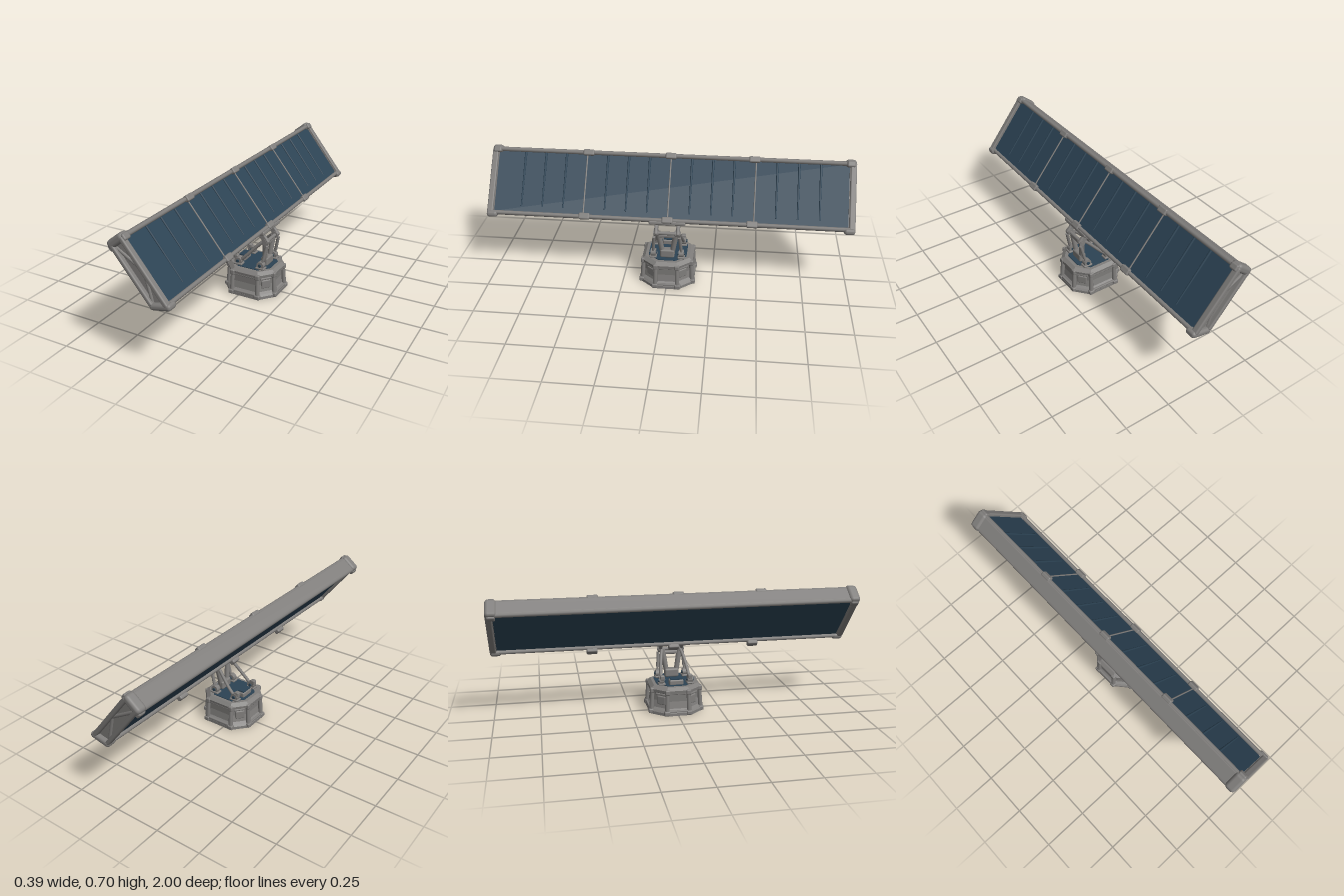
import * as THREE from 'three';
import { RoundedBoxGeometry } from 'three/addons/geometries/RoundedBoxGeometry.js';

export function createModel() {
  const mat = (name, color) => {
    const m = new THREE.MeshStandardMaterial({ color });
    m.name = name;
    return m;
  };
  const grey = mat('metalGrey', 0x7f7d7b);
  const blue = mat('cellBlue', 0x2c4354);

  const model = new THREE.Group();
  model.name = 'solarPanel';
  const V = (x, y, z) => new THREE.Vector3(x, y, z);

  const add = (parent, name, geo, m, x = 0, y = 0, z = 0) => {
    const mesh = new THREE.Mesh(geo, m);
    mesh.name = name;
    mesh.position.set(x, y, z);
    parent.add(mesh);
    return mesh;
  };
  const rbox = (p, name, w, h, d, x, y, z, r = 0.008) =>
    add(p, name, new RoundedBoxGeometry(w, h, d, 2, r), grey, x, y, z);
  // Tapered rod between two points
  const rod = (p, name, a, b, r0, r1 = r0, m = grey, sides = 10) => {
    const mesh = add(p, name, new THREE.CylinderGeometry(r1, r0, a.distanceTo(b), sides), m);
    mesh.position.copy(a).add(b).multiplyScalar(0.5);
    mesh.quaternion.setFromUnitVectors(V(0, 1, 0), b.clone().sub(a).normalize());
    return mesh;
  };

  // ---- Tilted panel: local x is its thickness, y runs up the slope ----
  const panel = new THREE.Group();
  panel.name = 'panel';
  panel.position.set(-0.034, 0.519, 0);
  panel.rotation.z = 0.668;
  model.add(panel);
  const SKEW = -0.46; // the lower edge is cut nearly level

  // Slab with a skewed lower edge
  const slab = (w, depth) => {
    const shape = new THREE.Shape([[-w, -0.152], [w, -0.152 - w], [w, 0.166], [-w, 0.166]]
      .map(([x, y]) => new THREE.Vector2(x, y)));
    return new THREE.ExtrudeGeometry(shape, { depth, bevelEnabled: false }).translate(0, 0, -depth / 2);
  };
  add(panel, 'cellCore', slab(0.032, 1.93), blue);

  // Long beams with round edge rails
  rbox(panel, 'upperBeam', 0.092, 0.026, 1.95, -0.004, 0.169, 0, 0.011);
  rbox(panel, 'lowerBeam', 0.09, 0.018, 1.95, 0, -0.178, 0).rotation.z = SKEW;
  for (const [x, y, r] of [[0.038, 0.168, 0.012], [-0.043, 0.168, 0.014], [0.039, -0.191, 0.0115], [-0.038, -0.158, 0.0115]])
    rod(panel, 'edgeRail', V(x, y, -0.97), V(x, y, 0.97), r);

  // Framed ends with braces and rounded corner caps
  for (const s of [-1, 1]) {
    const z = s * 0.97;
    add(panel, 'endPlate', slab(0.037, 0.014), grey, 0, 0, z);
    rbox(panel, 'frontPost', 0.024, 0.37, 0.034, 0.036, -0.012, s * 0.983);
    rbox(panel, 'backPost', 0.022, 0.33, 0.034, -0.037, 0.008, s * 0.983);
    rod(panel, 'endBrace', V(-0.034, 0.15, s * 0.976), V(0.034, -0.02, s * 0.976), 0.009);
    rod(panel, 'endBrace', V(0.034, 0, s * 0.976), V(-0.034, -0.15, s * 0.976), 0.009);
    rbox(panel, 'upperCap', 0.106, 0.044, 0.06, -0.004, 0.17, z, 0.018);
    rbox(panel, 'lowerCap', 0.116, 0.034, 0.06, 0.001, -0.182, z, 0.015).rotation.z = SKEW;
    rbox(panel, 'upperKnuckle', 0.026, 0.034, 0.045, -0.052, 0.156, z, 0.01);
    rbox(panel, 'frontKnuckle', 0.022, 0.034, 0.045, 0.046, 0.164, z, 0.009);
  }

  // Raised cell ribs, with a light rod at every fourth one
  for (let i = -7; i <= 7; i++) {
    const z = i * 0.116;
    if (i % 4 === 0) rod(panel, 'dividerRod', V(0.034, -0.175, z), V(0.034, 0.16, z), 0.004);
    else rod(panel, 'cellRib', V(0.032, -0.15, z), V(0.034, 0.155, z), 0.004, 0.007, blue, 8);
  }

  // Clips gripping the long beams
  for (const z of [-0.455, 0, 0.455]) {
    rbox(panel, 'upperClip', 0.026, 0.034, 0.06, 0.045, 0.166, z);
    rbox(panel, 'lowerFrontClip', 0.024, 0.036, 0.06, 0.044, -0.19, z);
    rbox(panel, 'lowerBackClip', 0.03, 0.034, 0.06, -0.051, -0.168, z);
  }
  // Mounting plate under the panel
  rbox(panel, 'mountPlate', 0.095, 0.022, 0.2, 0.004, -0.188, 0).rotation.z = SKEW;

  // ---- Hinge and supporting arms ----
  const arms = new THREE.Group();
  arms.name = 'arms';
  model.add(arms);
  const pivot = V(0.125, 0.319, 0);
  rod(arms, 'hingePin', V(pivot.x, pivot.y, -0.076), V(pivot.x, pivot.y, 0.076), 0.01, 0.01, grey, 16);
  for (const s of [-1, 1]) {
    rbox(arms, 'hingeLug', 0.036, 0.075, 0.02, 0.112, 0.341, s * 0.06).rotation.z = 0.668;
    rod(arms, 'hingeBoss', V(pivot.x, pivot.y, s * 0.045), V(pivot.x, pivot.y, s * 0.073), 0.018, 0.018, grey, 16);
    // V-shaped main post
    rod(arms, 'mainPost', V(0.103, 0.18, s * 0.026), V(0.115, 0.319, s * 0.05), 0.014, 0.016);
    // Outer pistons
    rod(arms, 'pistonRod', V(0.108, 0.175, s * 0.08), V(0.136, 0.3, s * 0.07), 0.006);
    rod(arms, 'pistonSleeve', V(0.117, 0.215, s * 0.077), V(0.136, 0.3, s * 0.07), 0.009);
    // Slightly bowed rear struts
    const path = new THREE.CatmullRomCurve3([
      V(-0.03, 0.178, s * 0.08), V(0.01, 0.217, s * 0.077), V(0.052, 0.263, s * 0.069), V(0.08, 0.293, s * 0.062), V(0.115, 0.324, s * 0.052)]);
    add(arms, 'rearStrut', new THREE.TubeGeometry(path, 16, 0.009, 8), grey);
    // Feet carrying the arms
    for (const [x, z] of [[0.104, s * 0.078], [-0.033, s * 0.08]]) {
      rod(arms, 'footDrum', V(x, 0.182, z - 0.014), V(x, 0.182, z + 0.014), 0.022, 0.022, grey, 12);
      rod(arms, 'footBolt', V(x, 0.182, z - 0.02), V(x, 0.182, z + 0.02), 0.009, 0.009, blue, 8);
      rbox(arms, 'footPad', 0.054, 0.012, 0.04, x, 0.165, z, 0.005);
    }
    rbox(arms, 'rearLatch', 0.026, 0.026, 0.026, -0.047, 0.202, s * 0.078, 0.006);
  }
  rbox(arms, 'postBlock', 0.042, 0.05, 0.08, 0.103, 0.184, 0, 0.01);
  rbox(arms, 'postCrossBar', 0.024, 0.022, 0.1, 0.116, 0.3, 0);
  rbox(arms, 'controlBox', 0.045, 0.032, 0.08, -0.04, 0.172, 0);
  add(arms, 'controlScreen', new THREE.BoxGeometry(0.034, 0.008, 0.066), blue, -0.04, 0.19, 0);

  // ---- Eight-sided base, broader on front and back ----
  const base = new THREE.Group();
  base.name = 'base';
  base.position.x = 0.035;
  model.add(base);
  const octagon = (profile) => {
    const g = new THREE.LatheGeometry(profile.map(([r, y]) => new THREE.Vector2(r, y)), 8, Math.PI / 8);
    const p = g.attributes.position;
    for (let i = 0; i < p.count; i++) {
      const x = p.getX(i), z = p.getZ(i), r = Math.hypot(x, z);
      const onSide = Math.abs(x) > Math.abs(z);
      p.setX(i, Math.sign(x) * r * (onSide ? 1.03 : 0.56));
      p.setZ(i, Math.sign(z) * r * (onSide ? 0.44 : 0.98));
    }
    const flat = g.toNonIndexed();
    flat.computeVertexNormals();
    return flat;
  };
  add(base, 'baseBody', octagon([[0, 0], [0.154, 0], [0.154, 0.016], [0.146, 0.026], [0.134, 0.036],
    [0.127, 0.075], [0.129, 0.118], [0.143, 0.126], [0.145, 0.142], [0.126, 0.158], [0, 0.158]]), grey);
  add(base, 'deckPlate', octagon([[0, 0.156], [0.108, 0.156], [0.108, 0.161], [0, 0.161]]), blue);

  for (let i = 0; i < 4; i++) {
    const side = new THREE.Group();
    side.name = 'baseSide';
    side.rotation.y = i * Math.PI / 2;
    base.add(side);
    const lateral = i % 2 === 1;
    const w = lateral ? 0.062 : 0.08;  // half width of this face
    const out = lateral ? 0.006 : 0;   // extra reach of this face
    for (const s of [-1, 1]) {
      // Corner posts with clamped tops and splayed feet
      rod(side, 'cornerPost', V(s * w, 0.012, 0.14 + out), V(s * (w - 0.003), 0.135, 0.133 + out), 0.013, 0.011);
      rbox(side, 'postClamp', 0.028, 0.03, 0.026, s * (w - 0.003), 0.132, 0.134 + out, 0.007);
      rbox(side, 'postFoot', 0.034, 0.026, 0.028, s * (w + 0.001), 0.014, 0.143 + out, 0.007);
    }
    // Face surround and sill
    rbox(side, 'faceLintel', 2 * w - 0.015, 0.011, 0.016, 0, 0.124, 0.133 + out, 0.004);
    rbox(side, 'faceSill', 2 * w - 0.015, 0.014, 0.018, 0, 0.022, 0.142 + out, 0.004);
    // Box panel on the diagonal face
    const diagonal = new THREE.Group();
    diagonal.name = 'diagonalPanel';
    diagonal.rotation.y = lateral ? 0.69 : 0.88;
    side.add(diagonal);
    rbox(diagonal, 'diagonalBox', 0.054, 0.05, 0.018, 0, 0.078, 0.134, 0.006);
    rbox(diagonal, 'diagonalBar', 0.07, 0.012, 0.016, 0, 0.112, 0.136, 0.004);
  }
  return model;
}
